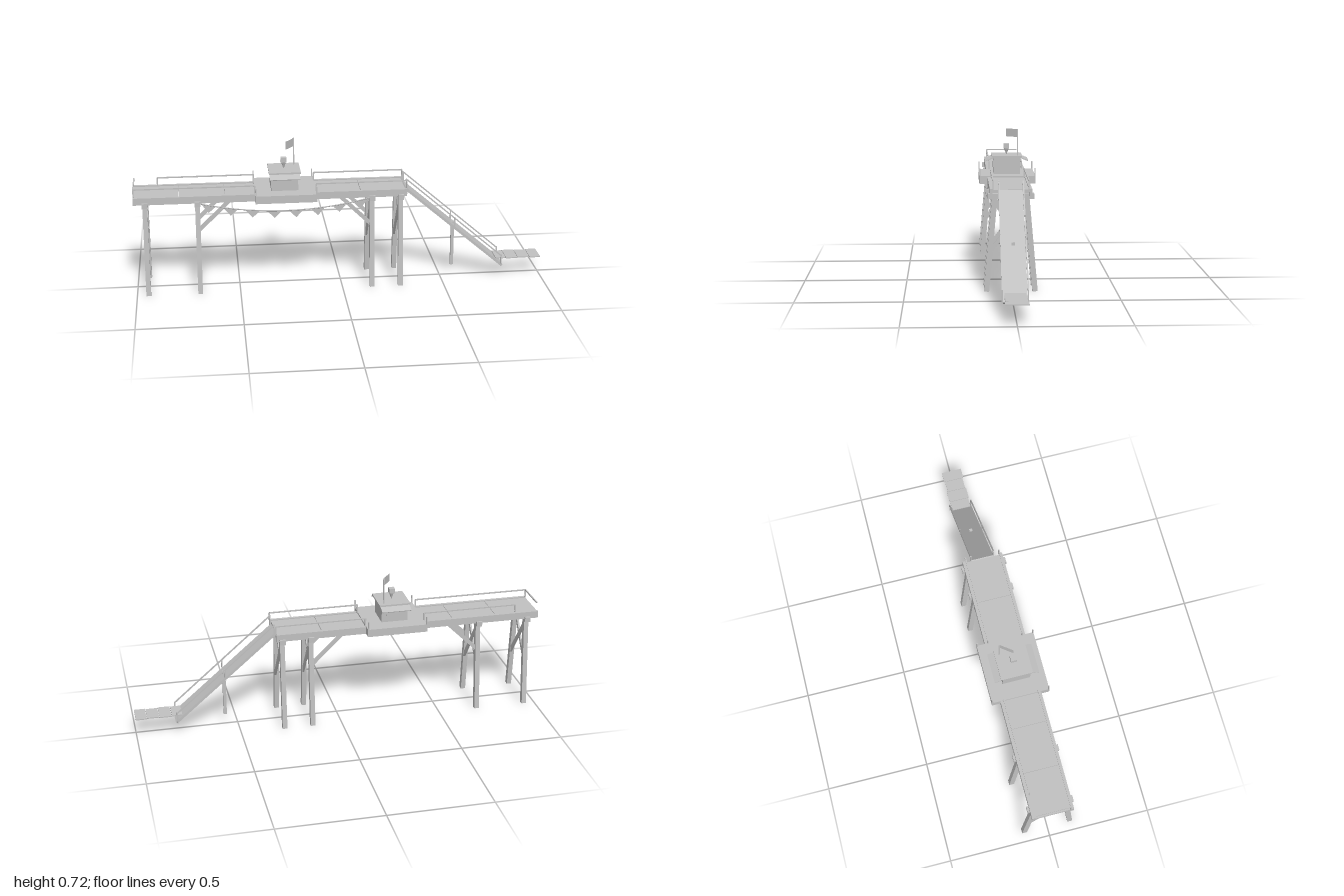
import * as THREE from 'three';

export function createModel() {
  const root = new THREE.Group();
  const grey = new THREE.MeshStandardMaterial({ color: 0xc0c0c0 });
  grey.name = 'plain grey';
  const greySheet = new THREE.MeshStandardMaterial({ color: 0xc0c0c0, side: THREE.DoubleSide });
  greySheet.name = 'plain grey sheet';

  const add = (name, geometry, material = grey) => {
    const mesh = new THREE.Mesh(geometry, material);
    mesh.name = name;
    root.add(mesh);
    return mesh;
  };
  // box given by its limits on each axis
  const box = (name, x0, x1, y0, y1, z0, z1) => {
    const mesh = add(name, new THREE.BoxGeometry(x1 - x0, y1 - y0, z1 - z0));
    mesh.position.set((x0 + x1) / 2, (y0 + y1) / 2, (z0 + z1) / 2);
    return mesh;
  };
  // square bar between two points
  const bar = (name, a, b, w, h = w) => {
    const p = new THREE.Vector3(...a), q = new THREE.Vector3(...b);
    const mesh = add(name, new THREE.BoxGeometry(w, h, p.distanceTo(q)));
    mesh.position.copy(p).add(q).multiplyScalar(0.5);
    mesh.lookAt(q);
    return mesh;
  };
  const post = (name, x, z, y0, y1, w = 0.006) =>
    box(name, x - w / 2, x + w / 2, y0, y1, z - w / 2, z + w / 2);

  // walkway: deck panels between two side beams
  const panel = 1.31 / 6;
  for (let i = 0; i < 6; i++) {
    box('deckPanel', -1 + i * panel, -1 + (i + 1) * panel - 0.002, 0.475, 0.49, -0.086, 0.086);
  }
  for (const s of [-1, 1]) {
    const z = s * 0.0925;
    box('sideBeam', -1, 0.315, 0.46, 0.495, z - 0.007, z + 0.007);
  }

  // trestle bents with splayed legs, cap beam and crossed braces
  for (const x of [-0.945, -0.695, 0.145, 0.285]) {
    box('capBeam', x - 0.014, x + 0.014, 0.445, 0.47, -0.11, 0.11);
    for (const s of [-1, 1]) {
      bar('leg', [x, 0.002, s * 0.115], [x, 0.455, s * 0.075], 0.023, 0.025);
      bar('crossBrace', [x + s * 0.005, 0.195, s * 0.096], [x + s * 0.005, 0.425, -s * 0.075], 0.009, 0.018);
    }
  }
  for (const s of [-1, 1]) {
    bar('kneeBrace', [-0.69, 0.32, s * 0.085], [-0.545, 0.462, s * 0.085], 0.012, 0.018);
    bar('kneeBrace', [0.14, 0.32, s * 0.085], [-0.005, 0.462, s * 0.085], 0.012, 0.018);
  }

  // handrails; the back one stops short to leave an opening
  const railY = 0.534;
  for (const s of [-1, 1]) {
    const z = s * 0.084, start = s > 0 ? -0.997 : -0.885;
    for (const [x0, x1] of [[start, -0.42], [-0.125, 0.315]]) {
      bar('handrail', [x0, railY, z], [x1, railY, z], 0.006);
      post('railPost', x0, z, 0.48, railY);
      post('railPost', x1, z, 0.48, railY);
    }
    for (const x of [-0.417, -0.128]) post('platformPost', x, s * 0.137, 0.49, 0.537);
  }
  bar('endRail', [-0.997, railY, 0.084], [-0.997, railY, -0.084], 0.006);

  // wide central platform and cabin
  box('platform', -0.42, -0.125, 0.46, 0.498, -0.14, 0.14);
  box('cabin', -0.34, -0.21, 0.495, 0.584, -0.067, 0.067);
  box('cabinRoof', -0.35, -0.197, 0.583, 0.591, -0.077, 0.077);
  for (const s of [-1, 1]) {
    box('cabinWindow', -0.315, -0.235, 0.53, 0.56, s * 0.068 - 0.002, s * 0.068 + 0.002);
    bar('awning', [-0.275, 0.581, s * 0.066], [-0.275, 0.565, s * 0.107], 0.145, 0.004);
  }

  // beacon on the roof
  const cone = add('beaconCone', new THREE.CylinderGeometry(0.013, 0.001, 0.033, 8).toNonIndexed());
  cone.geometry.computeVertexNormals();
  cone.position.set(-0.275, 0.607, 0);
  box('beaconBox', -0.289, -0.261, 0.622, 0.645, -0.014, 0.014);

  // flag, swung out diagonally from its pole
  post('flagPole', -0.222, -0.054, 0.59, 0.724);
  const flag = add('flag', new THREE.PlaneGeometry(0.071, 0.04), greySheet);
  flag.position.set(-0.2435, 0.703, -0.0255);
  flag.rotation.y = Math.atan2(0.057, 0.043);

  // sagging rope with hanging pennants on the front side
  const x0 = -0.695, x1 = 0.145, mid = (x0 + x1) / 2, half = (x1 - x0) / 2;
  const ropeY = x => 0.406 + 0.052 * ((x - mid) / half) ** 2;
  const points = [];
  for (let i = 0; i <= 16; i++) {
    const x = x0 + (x1 - x0) * i / 16;
    points.push(new THREE.Vector3(x, ropeY(x), 0.092));
  }
  add('rope', new THREE.TubeGeometry(new THREE.CatmullRomCurve3(points), 32, 0.003, 5));
  for (let i = 0; i < 8; i++) {
    const x = x0 + (x1 - x0) * (i + 0.5) / 8, w = 0.036;
    const shape = new THREE.Shape([
      new THREE.Vector2(x - w, ropeY(x - w)),
      new THREE.Vector2(x, ropeY(x) - 0.038),
      new THREE.Vector2(x + w, ropeY(x + w)),
    ]);
    add('pennant', new THREE.ShapeGeometry(shape), greySheet).position.z = 0.092;
  }

  // sloping ramp with rails and one central support
  const rampY = x => 0.485 - (x - 0.31) * 0.86;
  bar('ramp', [0.31, rampY(0.31), 0], [0.805, rampY(0.805), 0], 0.11, 0.012);
  for (const s of [-1, 1]) {
    const z = s * 0.057;
    bar('rampRail', [0.315, 0.533, z], [0.8, 0.112, z], 0.006);
    for (const x of [0.318, 0.56, 0.8]) post('rampPost', x, z, rampY(x) - 0.006, rampY(x) + 0.054);
  }
  post('rampSupport', 0.56, 0, 0.055, 0.285, 0.015);

  // landing planks at the foot of the ramp
  [[0.775, 0.825, 0.048], [0.827, 0.885, 0.052], [0.887, 0.945, 0.047], [0.947, 1, 0.052]]
    .forEach(([a, b, z]) => box('landingPlank', a, b, 0.093, 0.098, -z, z));

  return root;
}
